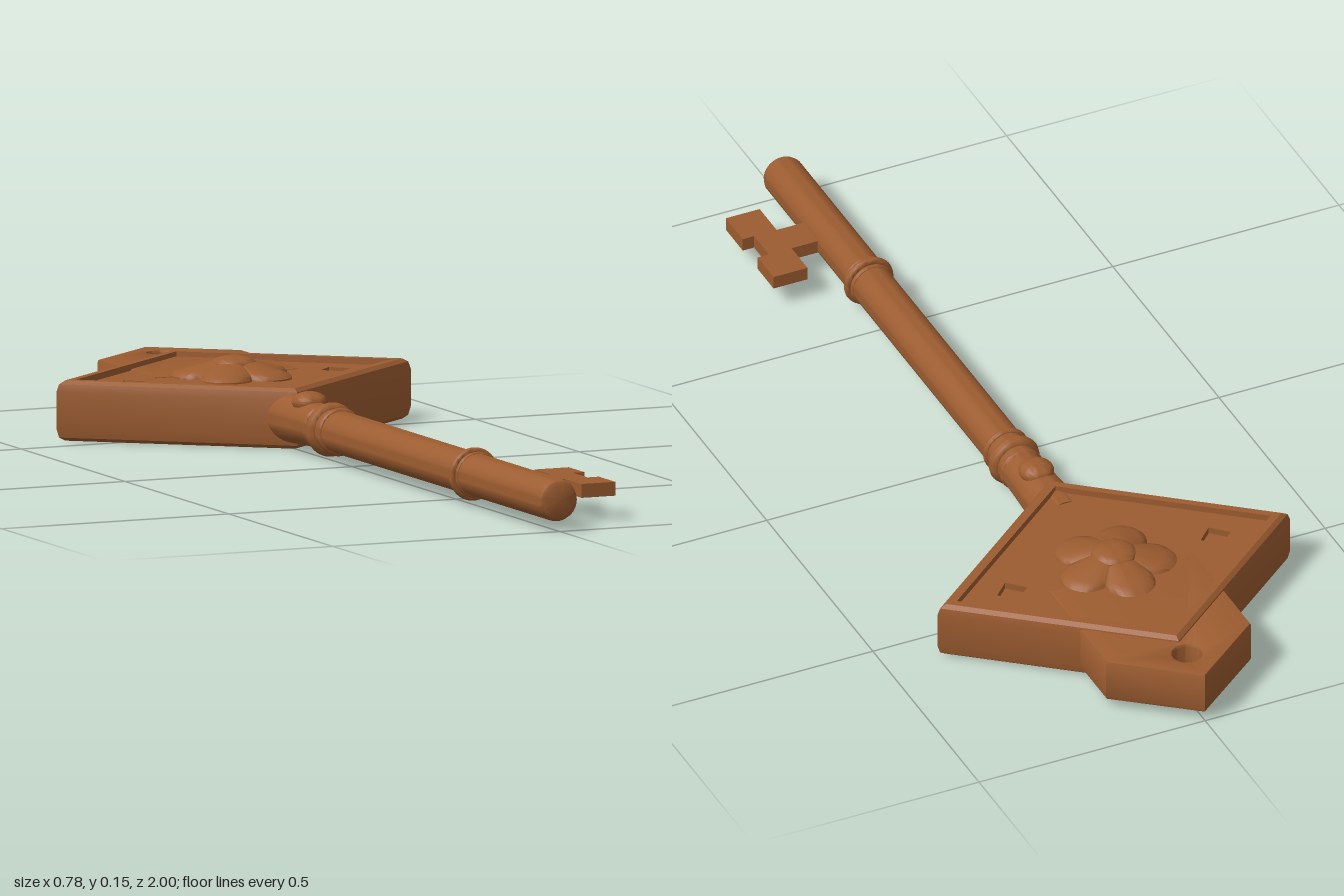
import * as THREE from 'three';
import { toCreasedNormals } from 'three/addons/utils/BufferGeometryUtils.js';

const V = (x, y) => new THREE.Vector2(x, y);
const HEAD_Z = -0.57, AXIS_Y = 0.062;

export function createModel() {
  const group = new THREE.Group();
  const material = new THREE.MeshStandardMaterial({ color: 0x9c5c30 });

  const add = (name, geometry, x = 0, y = 0, z = 0, crease = 0.6) => {
    const mesh = new THREE.Mesh(toCreasedNormals(geometry, crease), material);
    mesh.name = name;
    mesh.position.set(x, y, z);
    group.add(mesh);
    return mesh;
  };
  // Plan outline (x, z) extruded downwards from y = 0
  const slab = (shape, depth, bevel = 0) => new THREE.ExtrudeGeometry(shape, {
    depth: depth - 2 * bevel, bevelEnabled: bevel > 0, bevelSize: bevel,
    bevelThickness: bevel, bevelOffset: -bevel, bevelSegments: 2, curveSegments: 24,
  }).translate(0, 0, bevel).rotateX(Math.PI / 2);
  const diamond = (w, h, x = 0) => [V(x + w, 0), V(x, h), V(x - w, 0), V(x, -h)];

  // Diamond head with a raised rim on both faces
  const headProfile = [[0, 0.015], [0.885, 0.015], [0.89, 0], [0.95, 0], [0.985, 0.007], [1, 0.025],
    [1, 0.1], [0.985, 0.115], [0.95, 0.122], [0.89, 0.122], [0.885, 0.095], [0, 0.095]];
  const head = new THREE.LatheGeometry(headProfile.map(p => V(...p)), 4);
  head.scale(0.39, 1, 0.31);
  add('diamondHead', head, 0, 0, HEAD_Z, 0.5);

  // Top panel with two small diamond pits
  const panel = new THREE.Shape(diamond(0.346, 0.275));
  for (const s of [-1, 1]) panel.holes.push(new THREE.Path(diamond(0.033, 0.033, s * 0.225)));
  add('topPanel', slab(panel, 0.014), 0, 0.109, HEAD_Z);

  // Five-petalled flower: a domed disc with its radius following petal circles
  const flowerProfile = [[1, 0.1], [1, 0.112], [0.95, 0.118], [0.82, 0.123], [0.6, 0.131], [0.36, 0.139], [0, 0.142]];
  const flower = new THREE.LatheGeometry(flowerProfile.map(p => V(...p)), 100);
  const pos = flower.attributes.position, d = 0.075, rho = 0.052, step = Math.PI * 2 / 5;
  for (let i = 0; i < pos.count; i++) {
    const x = pos.getX(i), z = pos.getZ(i);
    const a = Math.atan2(x, -z);
    const delta = a - Math.round(a / step) * step;
    const r = d * Math.cos(delta) + Math.sqrt(rho * rho - (d * Math.sin(delta)) ** 2);
    pos.setX(i, x * r);
    pos.setZ(i, z * r);
  }
  add('flower', flower, 0, 0, HEAD_Z, 0.7);
  add('flowerCentre', new THREE.SphereGeometry(0.046, 32, 16).scale(1, 0.36, 1), 0, 0.134, HEAD_Z);

  // Pointed hanging tab behind the head, with a round hole
  const tab = new THREE.Shape([V(0.16, -0.6), V(-0.16, -0.6), V(-0.16, -0.875), V(0, -1), V(0.16, -0.875)]);
  tab.holes.push(new THREE.Path().absarc(0, -0.915, 0.03, 0, Math.PI * 2));
  add('hangingTab', slab(tab, 0.093, 0.006), 0, 0.112, 0, 0.4);

  // Round shaft and flared neck along z
  const turned = points => new THREE.LatheGeometry(points.map(p => V(...p)), 40).rotateX(Math.PI / 2);
  add('shaft', turned([[0, -0.14], [0.043, -0.14], [0.043, 0.985], [0.039, 0.996], [0.032, 1], [0, 1]]), 0, AXIS_Y);
  add('neck', turned([[0, -0.34], [0.05, -0.34], [0.05, -0.28], [0.046, -0.2], [0.043, -0.13], [0, -0.13]]), 0, AXIS_Y);

  // Turned collars: [z, outer radius, tube radius]
  const rings = [[-0.135, 0.047, 0.007], [-0.1, 0.055, 0.016], [-0.06, 0.049, 0.007],
    [0.57, 0.047, 0.005], [0.585, 0.054, 0.008], [0.6, 0.047, 0.005]];
  for (const [z, r, t] of rings)
    add('collarRing', new THREE.TorusGeometry(r - t, t, 12, 40), 0, AXIS_Y, z, 1);

  // Rounded stud on the neck
  add('neckStud', new THREE.SphereGeometry(0.036, 24, 16).scale(1, 0.6, 1), 0, 0.104, -0.205);

  // Key bit with two teeth
  const bit = new THREE.Shape([V(0.02, 0.735), V(0.1, 0.735), V(0.1, 0.66), V(0.175, 0.66), V(0.175, 0.735),
    V(0.15, 0.735), V(0.15, 0.805), V(0.175, 0.805), V(0.175, 0.885), V(0.1, 0.885), V(0.1, 0.805), V(0.02, 0.805)]);
  add('keyBit', slab(bit, 0.028), 0, 0.075);

  return group;
}
